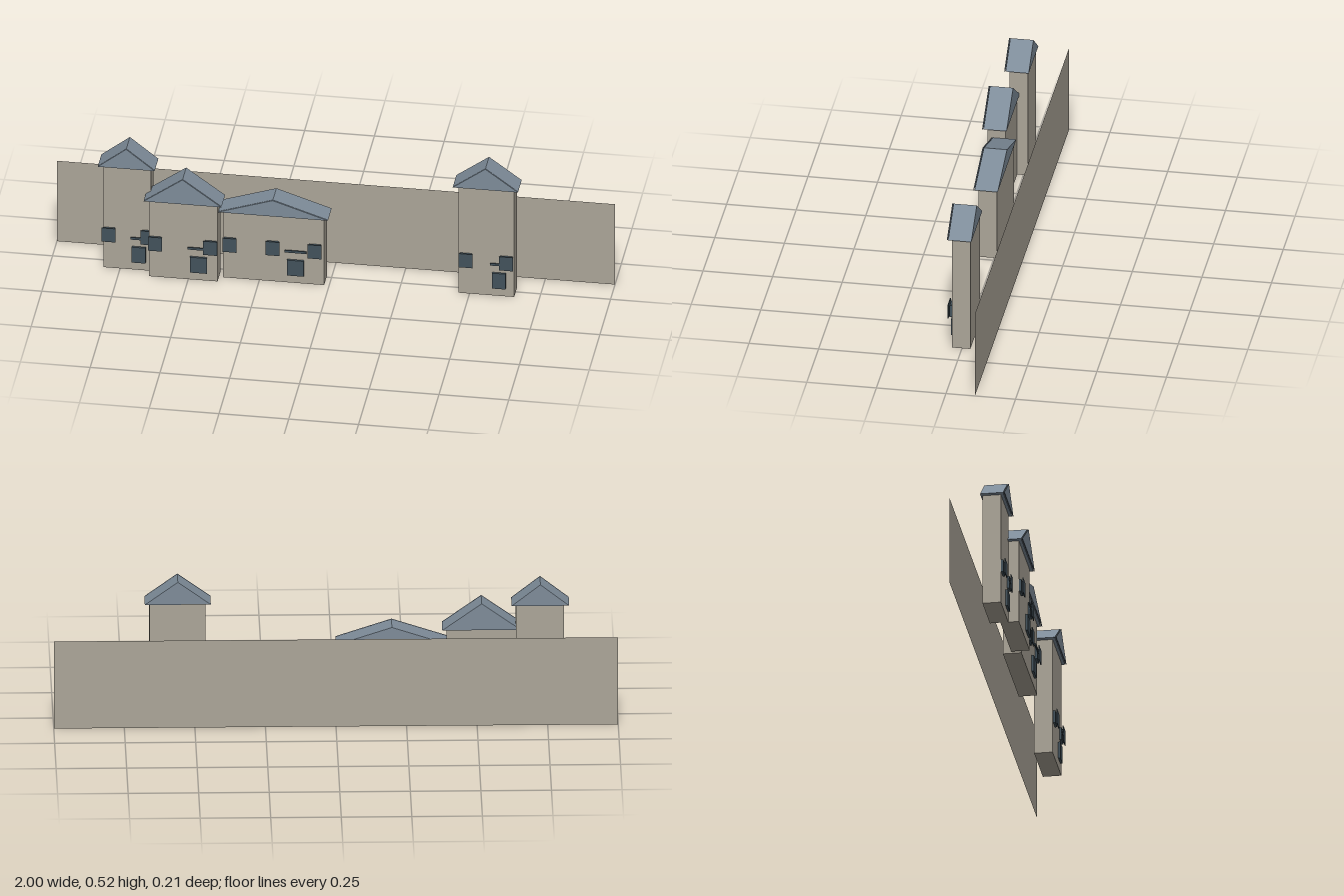
import * as THREE from 'three';

const wallMat = new THREE.MeshStandardMaterial({ color: 0xaba598 });
wallMat.name = 'plaster';
const backMat = new THREE.MeshStandardMaterial({ color: 0xaba598, side: THREE.DoubleSide });
backMat.name = 'backdrop plaster';
const roofMat = new THREE.MeshStandardMaterial({ color: 0x7e8c99 });
roofMat.name = 'slate roof';
const windowMat = new THREE.MeshStandardMaterial({ color: 0x43525b });
windowMat.name = 'dark glass';

const DEPTH = 0.066;

// Box given by its min and max corners
function block(name, mat, [x0, y0, z0], [x1, y1, z1]) {
  const mesh = new THREE.Mesh(new THREE.BoxGeometry(x1 - x0, y1 - y0, z1 - z0), mat);
  mesh.position.set((x0 + x1) / 2, (y0 + y1) / 2, (z0 + z1) / 2);
  mesh.name = name;
  return mesh;
}

// Triangular prism with its ridge along z
function gable(name, x0, x1, y0, y1, z0, z1) {
  const shape = new THREE.Shape([
    new THREE.Vector2(x0, y0),
    new THREE.Vector2(x1, y0),
    new THREE.Vector2((x0 + x1) / 2, y1),
  ]);
  const geo = new THREE.ExtrudeGeometry(shape, { depth: z1 - z0, bevelEnabled: false });
  const mesh = new THREE.Mesh(geo, roofMat);
  mesh.position.z = z0;
  mesh.name = name;
  return mesh;
}

// x: wall span, eave and ridge heights, front: z of the facade,
// upper: left edges of upper windows, lower / bar: x spans
const houses = [
  { name: 'farLeftTower', x: [-0.81, -0.64], eave: 0.42, ridge: 0.5, front: 0.05,
    upper: [-0.814, -0.675], lower: [-0.707, -0.658], bar: [-0.71, -0.66] },
  { name: 'forwardHouse', x: [-0.64, -0.395], eave: 0.315, ridge: 0.415, front: 0.088,
    upper: [-0.642, -0.444], lower: [-0.493, -0.432], bar: [-0.5, -0.44] },
  { name: 'wideHouse', x: [-0.38, -0.018], eave: 0.275, ridge: 0.34, front: 0.056,
    upper: [-0.38, -0.226, -0.075], lower: [-0.15, -0.09], bar: [-0.157, -0.08] },
  { name: 'rightTower', x: [0.46, 0.66], eave: 0.44, ridge: 0.525, front: 0.036,
    upper: [0.463, 0.608], lower: [0.582, 0.63], bar: [0.575, 0.61] },
];

function buildHouse(h) {
  const g = new THREE.Group();
  g.name = h.name;
  const [x0, x1] = h.x;
  const f = h.front;
  g.add(block('walls', wallMat, [x0, 0, f - DEPTH], [x1, h.eave, f]));

  // Overhanging roof with a separate thin gable plate in front
  const r0 = x0 - 0.018, r1 = x1 + 0.016;
  g.add(gable('roof', r0, r1, h.eave, h.ridge, f - DEPTH - 0.006, f + 0.011));
  g.add(gable('gablePlate', r0, r1, h.eave, h.ridge, f + 0.013, f + 0.016));

  // Upper windows: glass block and a slightly larger front plate
  for (const x of h.upper) {
    g.add(block('upperWindow', windowMat, [x + 0.004, 0.119, f + 0.001], [x + 0.046, 0.166, f + 0.009]));
    g.add(block('upperWindowPlate', windowMat, [x, 0.114, f + 0.013], [x + 0.05, 0.17, f + 0.016]));
  }
  g.add(block('lowerWindow', windowMat, [h.lower[0], 0.033, f + 0.001], [h.lower[1], 0.096, f + 0.009]));
  g.add(block('bar', windowMat, [h.bar[0], 0.131, f + 0.012], [h.bar[1], 0.14, f + 0.016]));
  return g;
}

export function createModel() {
  const model = new THREE.Group();
  model.name = 'houseRow';

  // Flat wall standing behind the houses
  const back = new THREE.Mesh(new THREE.PlaneGeometry(2, 0.33), backMat);
  back.position.set(0, 0.165, -0.104);
  back.name = 'backWall';
  model.add(back);

  for (const h of houses) model.add(buildHouse(h));
  return model;
}
